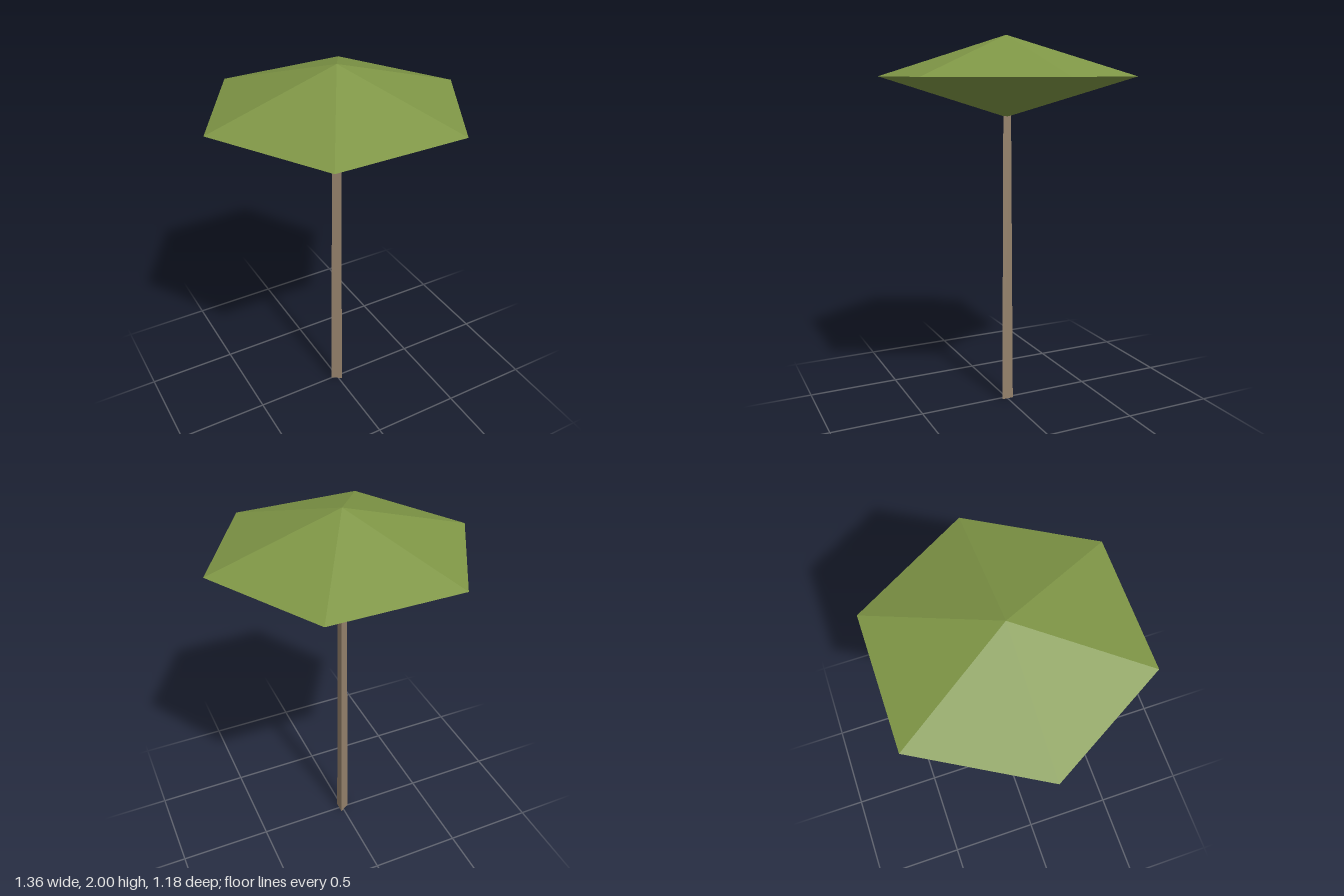
import * as THREE from 'three';

export function createModel() {
  const group = new THREE.Group();
  const bark = new THREE.MeshStandardMaterial({ color: 0x94816b, flatShading: true, side: THREE.DoubleSide });
  bark.name = 'bark';
  const leaf = new THREE.MeshStandardMaterial({ color: 0x7f9646, flatShading: true });
  leaf.name = 'leaf green';

  // Trunk: tapered three-sided open tube, one edge towards -x
  const trunkHeight = 1.6;
  const trunkGeometry = new THREE.CylinderGeometry(0.026, 0.038, trunkHeight, 3, 1, true, -Math.PI / 2);
  trunkGeometry.translate(0, trunkHeight / 2, 0);
  const trunk = new THREE.Mesh(trunkGeometry, bark);
  trunk.name = 'trunk';
  group.add(trunk);

  // Canopy: flattened hexagonal double pyramid with corners on the x axis
  const radius = 0.68, halfHeight = 0.21;
  const canopyGeometry = new THREE.SphereGeometry(radius, 6, 2);
  canopyGeometry.scale(1, halfHeight / radius, 1);
  canopyGeometry.translate(0, 2 - halfHeight, 0);
  const canopy = new THREE.Mesh(canopyGeometry, leaf);
  canopy.name = 'canopy';
  group.add(canopy);

  return group;
}
